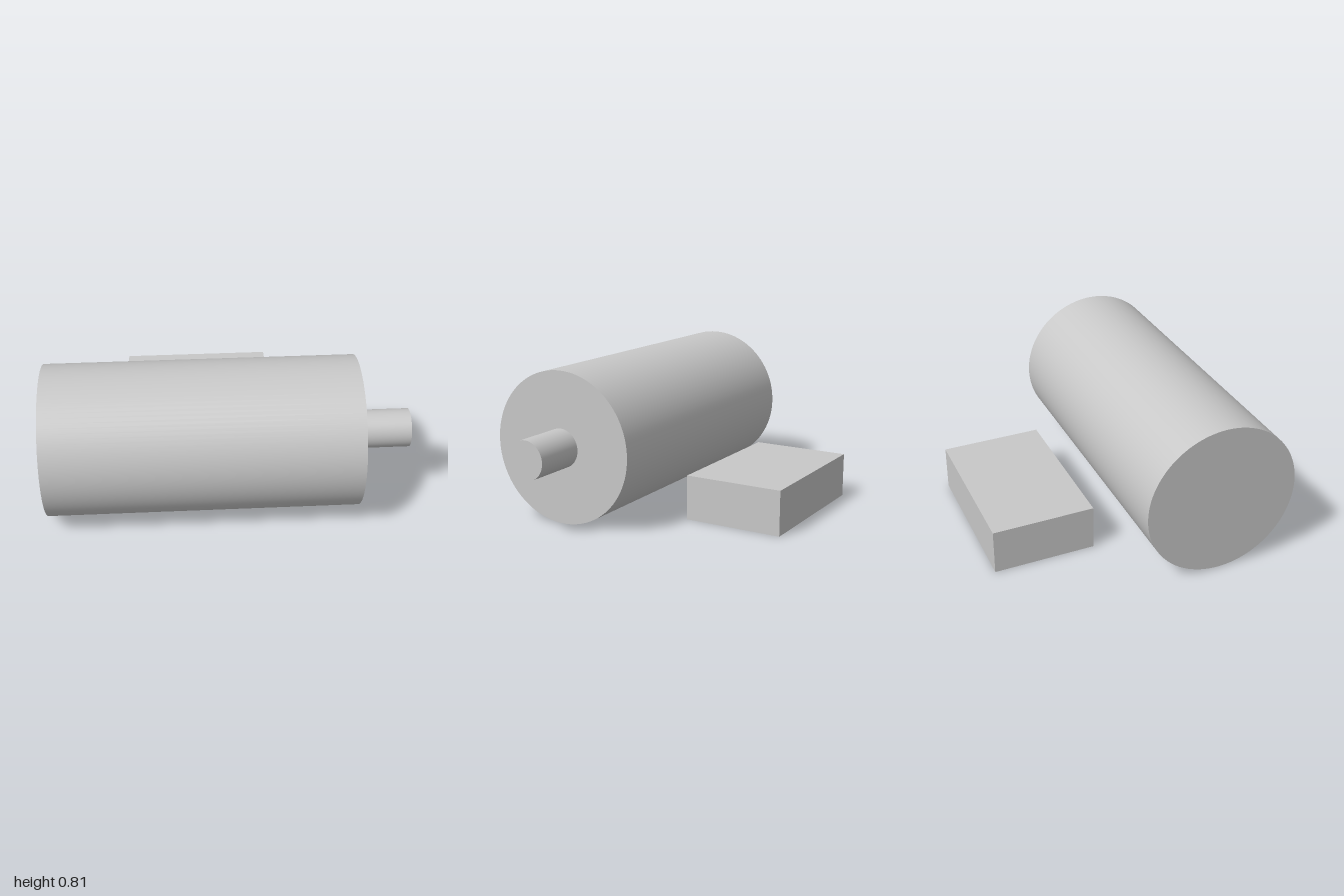
import * as THREE from 'three';

export function createModel() {
  const model = new THREE.Group();
  model.name = 'motor';
  const grey = new THREE.MeshStandardMaterial({ name: 'light grey', color: 0xc8c8c8 });
  const turn = THREE.MathUtils.degToRad(15);
  const axisY = 0.407;

  // Motor assembly: local x runs along the shaft
  const motor = new THREE.Group();
  motor.name = 'motorAssembly';
  motor.position.set(-0.103, axisY, 0.256);
  motor.rotation.y = turn;
  model.add(motor);

  const addCylinder = (name, radius, length, x) => {
    const geometry = new THREE.CylinderGeometry(radius, radius, length, 96).rotateZ(-Math.PI / 2);
    const mesh = new THREE.Mesh(geometry, grey);
    mesh.name = name;
    mesh.position.x = x;
    motor.add(mesh);
  };
  const bodyLength = 1.646;
  const shaftLength = 0.29;
  addCylinder('motorBody', 0.403, bodyLength, 0);
  addCylinder('shaft', 0.103, shaftLength, (bodyLength + shaftLength) / 2);

  // Separate block behind the motor, parallel to it
  const block = new THREE.Mesh(new THREE.BoxGeometry(0.837, 0.24, 0.535), grey);
  block.name = 'terminalBlock';
  block.position.set(-0.303, 0.12, -0.497);
  block.rotation.y = turn;
  model.add(block);

  return model;
}
